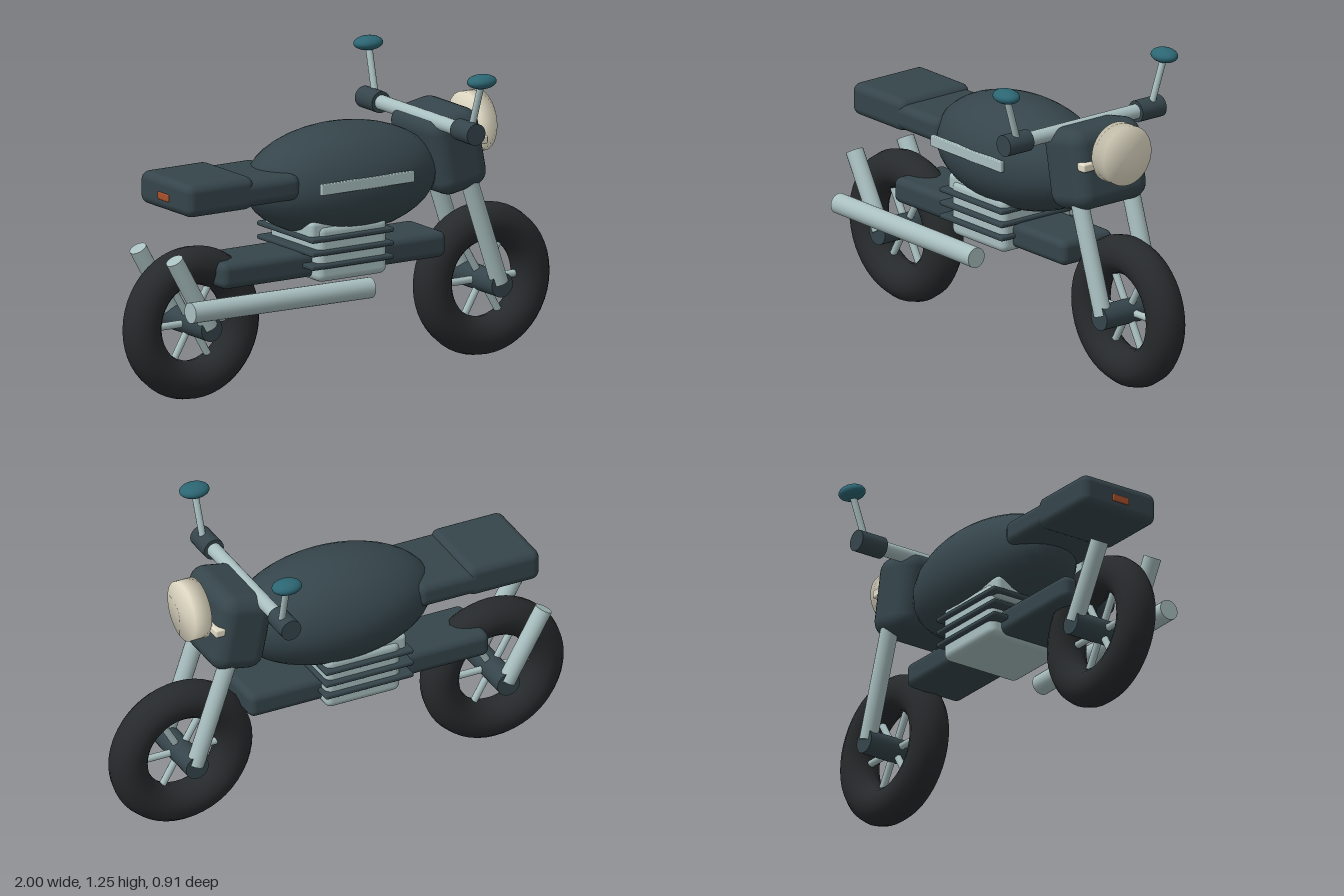
import * as THREE from 'three';
import { RoundedBoxGeometry } from 'three/addons/geometries/RoundedBoxGeometry.js';

const material = (color) => new THREE.MeshStandardMaterial({ color });
const dark = material(0x35454b);
const rubber = material(0x272a2c);
const steel = material(0xa9bfc0);
const cream = material(0xe2dcc6);
const teal = material(0x2c6673);
const amber = material(0xa8502c);

export function createModel() {
  const model = new THREE.Group();
  model.name = 'motorcycle';

  const add = (name, geometry, mat, x = 0, y = 0, z = 0, parent = model) => {
    const mesh = new THREE.Mesh(geometry, mat);
    mesh.name = name;
    mesh.position.set(x, y, z);
    parent.add(mesh);
    return mesh;
  };
  // Rounded box given by size, corner radius and centre
  const box = (name, mat, [w, h, d], r, [x, y, z]) =>
    add(name, new RoundedBoxGeometry(w, h, d, 3, r), mat, x, y, z);
  // Cylinder between two points
  const rod = (name, mat, from, to, r, parent = model, sides = 20) => {
    const a = new THREE.Vector3(...from);
    const b = new THREE.Vector3(...to);
    const dir = b.clone().sub(a);
    const mesh = add(name, new THREE.CylinderGeometry(r, r, dir.length(), sides), mat, 0, 0, 0, parent);
    mesh.position.copy(a).add(b).multiplyScalar(0.5);
    mesh.quaternion.setFromUnitVectors(new THREE.Vector3(0, 1, 0), dir.normalize());
    return mesh;
  };
  const ellipsoid = (name, mat, rx, ry, rz, x, y, z) =>
    add(name, new THREE.SphereGeometry(1, 32, 20).scale(rx, ry, rz), mat, x, y, z);

  // Wheels with tyre, hub and three spokes across the diameter
  for (const [name, x] of [['rearWheel', -0.69], ['frontWheel', 0.69]]) {
    const wheel = new THREE.Group();
    wheel.name = name;
    wheel.position.set(x, 0.313, 0);
    add('tyre', new THREE.TorusGeometry(0.232, 0.078, 14, 48), rubber, 0, 0, 0, wheel);
    rod('hub', dark, [0, 0, -0.15], [0, 0, 0.15], 0.05, wheel);
    for (let i = 0; i < 3; i++) {
      const a = (i * Math.PI) / 3;
      const c = Math.cos(a) * 0.2;
      const s = Math.sin(a) * 0.2;
      rod('spoke', steel, [-c, -s, 0], [c, s, 0], 0.015, wheel, 10);
    }
    model.add(wheel);
  }

  // Frame and engine with cooling fins
  box('frame', dark, [1.065, 0.105, 0.26], 0.03, [-0.088, 0.508, 0]);
  box('engineBlock', steel, [0.33, 0.23, 0.36], 0.03, [-0.035, 0.555, 0]);
  box('cylinderHead', steel, [0.36, 0.09, 0.34], 0.02, [-0.05, 0.645, 0]);
  for (const y of [0.51, 0.565, 0.62]) {
    box('coolingFin', dark, [0.39, 0.02, 0.4], 0.008, [-0.05, y, 0]);
  }

  // Body
  ellipsoid('fuelTank', dark, 0.43, 0.225, 0.252, 0.02, 0.81, 0);
  box('tankStripe', steel, [0.44, 0.045, 0.02], 0.004, [-0.015, 0.838, 0.244]);
  box('seat', dark, [0.46, 0.105, 0.36], 0.035, [-0.51, 0.842, 0]);
  box('tail', dark, [0.32, 0.133, 0.36], 0.035, [-0.66, 0.848, 0]);
  box('tailLight', amber, [0.02, 0.03, 0.08], 0.005, [-0.815, 0.84, 0]);

  // Headlight housing, trim bar and lamp with softly shaded rim
  box('headlightHousing', dark, [0.235, 0.33, 0.36], 0.065, [0.487, 0.88, 0]).rotation.z = 0.19;
  box('headlightTrim', cream, [0.05, 0.035, 0.33], 0.008, [0.59, 0.918, 0]);
  const lampProfile = [[0, -0.037], [0.123, -0.037], [0.123, 0.037], [0, 0.037]]
    .map(([r, h]) => new THREE.Vector2(r, h));
  add('headlight', new THREE.LatheGeometry(lampProfile, 40), cream, 0.648, 0.957, 0).rotation.z = -Math.PI / 2;

  // Handlebar, grips, mirrors, fork legs and rear shocks
  rod('handlebar', steel, [0.4, 1.01, -0.38], [0.4, 1.01, 0.38], 0.03);
  for (const s of [-1, 1]) {
    rod('grip', dark, [0.4, 1.01, s * 0.278], [0.4, 1.01, s * 0.4], 0.044);
    rod('mirrorStem', steel, [0.415, 1.02, s * 0.342], [0.423, 1.215, s * 0.402], 0.014, model, 12);
    ellipsoid('mirror', teal, 0.063, 0.029, 0.048, 0.423, 1.225, s * 0.405);
    rod('forkLeg', steel, [0.53, 0.8, s * 0.13], [0.69, 0.32, s * 0.13], 0.036);
    rod('rearShock', steel, [-0.855, 0.61, s * 0.13], [-0.69, 0.32, s * 0.13], 0.036);
  }

  // Exhaust on the front-facing side only
  rod('exhaust', steel, [-0.84, 0.413, 0.222], [0.015, 0.406, 0.222], 0.042);

  return model;
}
